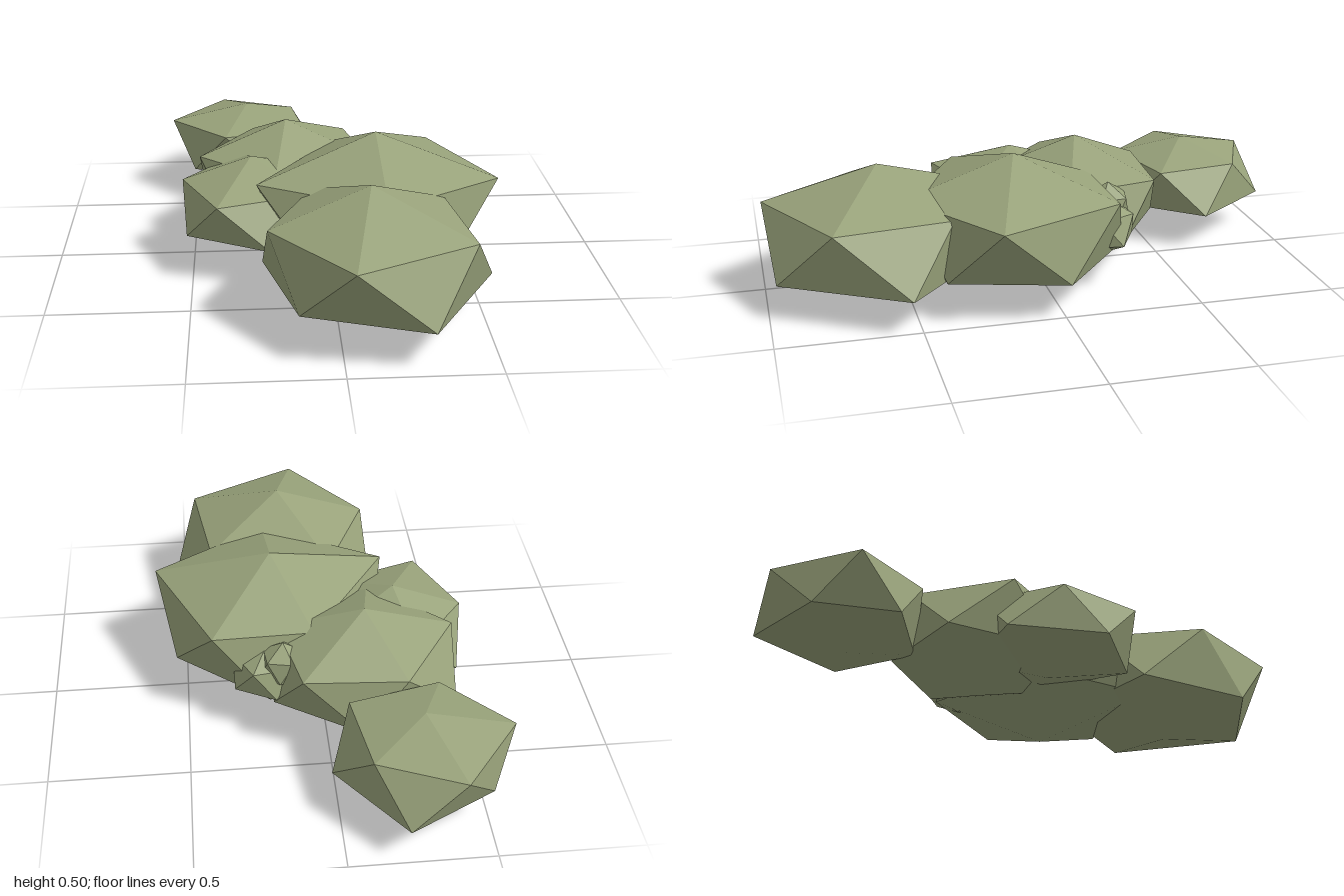
import * as THREE from 'three';

// A squashed, slightly irregular twenty-sided clump: two poles and two rings of five.
// Rings hold [x, z] offsets from the centre, ordered by rising angle from +x to +z.
function clumpGeometry({ at: [cx, cz], y: [bottom, low, high, top], upper, lower }) {
  const point = ([x, z], y) => [cx + x, y, cz + z];
  const u = upper.map((p) => point(p, high));
  const l = lower.map((p) => point(p, low));
  const north = [cx, top, cz];
  const south = [cx, bottom, cz];
  const tris = [];
  for (let i = 0; i < 5; i++) {
    const j = (i + 1) % 5;
    tris.push(north, u[j], u[i]); // cap
    tris.push(u[i], u[j], l[i]); // belt
    tris.push(l[i], u[j], l[j]);
    tris.push(south, l[i], l[j]); // underside
  }
  const g = new THREE.BufferGeometry();
  g.setAttribute('position', new THREE.Float32BufferAttribute(tris.flat(), 3));
  g.computeVertexNormals();
  return g;
}

// Regular ring of five offsets
const ring = (r, start) => Array.from({ length: 5 }, (_, i) => {
  const a = THREE.MathUtils.degToRad(start + 72 * i);
  return [r * Math.cos(a), r * Math.sin(a)];
});

// lower[i] sits between upper[i] and upper[i + 1]
const clumps = {
  frontClump: {
    at: [0.11, 0.59], y: [0.035, 0.13, 0.35, 0.485],
    upper: [[0.33, 0.195], [-0.08, 0.405], [-0.345, 0.045], [-0.18, -0.33], [0.275, -0.225]],
    lower: [[0.175, 0.38], [-0.25, 0.23], [-0.36, -0.2], [0.07, -0.38], [0.425, -0.055]],
  },
  largeClump: {
    at: [0.17, 0.11], y: [0, 0.135, 0.365, 0.505],
    upper: [[0.43, 0.13], [0.01, 0.4], [-0.435, 0.145], [-0.135, -0.32], [0.23, -0.33]],
    lower: [[0.25, 0.29], [-0.24, 0.34], [-0.37, -0.11], [0.03, -0.4], [0.365, -0.12]],
  },
  middleClump: {
    at: [-0.145, -0.205], y: [0.025, 0.14, 0.33, 0.455],
    upper: [[0.31, 0.1], [-0.05, 0.32], [-0.33, 0.055], [-0.125, -0.27], [0.24, -0.245]],
    lower: [[0.16, 0.3], [-0.22, 0.22], [-0.32, -0.17], [0.035, -0.305], [0.335, -0.105]],
  },
  backClump: {
    at: [-0.29, -0.69], y: [0.07, 0.135, 0.3, 0.37],
    upper: [[0.235, 0.16], [-0.09, 0.24], [-0.31, 0], [-0.1, -0.28], [0.19, -0.155]],
    lower: [[0.1, 0.25], [-0.22, 0.15], [-0.22, -0.145], [0.085, -0.31], [0.31, -0.005]],
  },
  sideClump: {
    at: [-0.28, 0.02], y: [0.06, 0.14, 0.3, 0.39],
    upper: [[0.2, 0.18], [-0.125, 0.29], [-0.255, -0.01], [-0.06, -0.26], [0.23, -0.13]],
    lower: [[0.06, 0.315], [-0.24, 0.15], [-0.22, -0.2], [0.11, -0.25], [0.28, 0.03]],
  },
  smallClump: {
    at: [0.2, -0.2], y: [0.1, 0.17, 0.27, 0.33],
    upper: ring(0.13, 10), lower: ring(0.14, 46),
  },
  tinyClump: {
    at: [0.15, -0.25], y: [0.18, 0.23, 0.31, 0.36],
    upper: ring(0.08, 30), lower: ring(0.08, 66),
  },
};

export function createModel() {
  const model = new THREE.Group();
  model.name = 'shrub';
  const foliage = new THREE.MeshStandardMaterial({ color: 0x98a27a });
  foliage.name = 'foliage green';
  foliage.flatShading = true;
  for (const [name, spec] of Object.entries(clumps)) {
    const mesh = new THREE.Mesh(clumpGeometry(spec), foliage);
    mesh.name = name;
    model.add(mesh);
  }
  return model;
}
